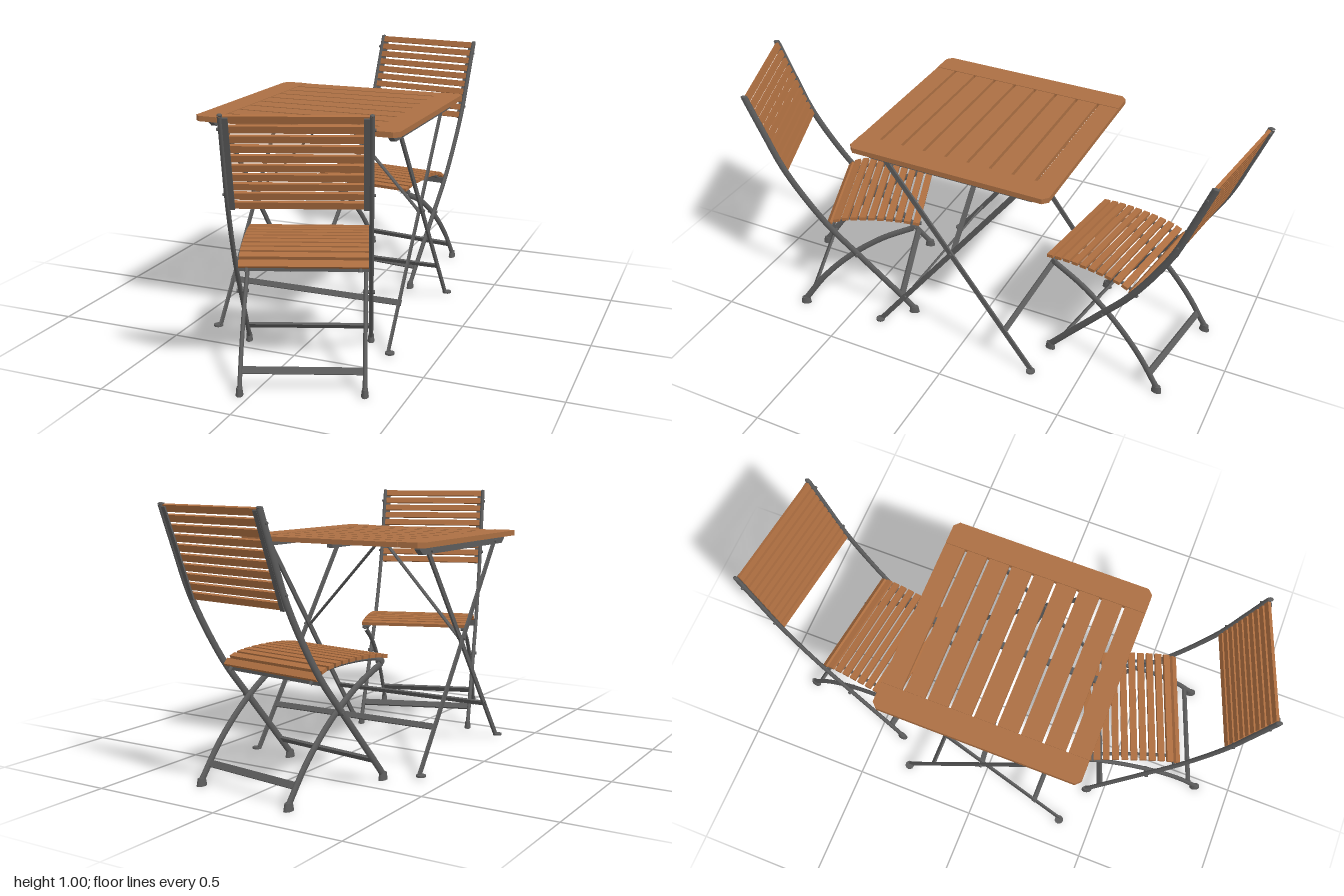
import * as THREE from 'three';

const tableWood = new THREE.MeshStandardMaterial({ color: 0xab6f43 });
tableWood.name = 'tableWood';
const chairWood = new THREE.MeshStandardMaterial({ color: 0xad6e40 });
chairWood.name = 'chairWood';
const steel = new THREE.MeshStandardMaterial({ color: 0x5c5c5c });
steel.name = 'greySteel';

const V = (x, y, z) => new THREE.Vector3(x, y, z);

function add(group, name, geometry, material, x = 0, y = 0, z = 0) {
  const mesh = new THREE.Mesh(geometry, material);
  mesh.name = name;
  mesh.position.set(x, y, z);
  group.add(mesh);
  return mesh;
}

const box = (group, name, material, w, h, d, x, y, z) =>
  add(group, name, new THREE.BoxGeometry(w, h, d), material, x, y, z);

// Flat bar running between two points
function bar(group, name, a, b, w, h) {
  const mid = a.clone().add(b).multiplyScalar(0.5);
  const mesh = box(group, name, steel, w, h, a.distanceTo(b), mid.x, mid.y, mid.z);
  mesh.lookAt(b);
}

// Short cylinder lying along x
function bolt(group, name, r, length, x, y, z) {
  const mesh = add(group, name, new THREE.CylinderGeometry(r, r, length, 10), steel, x, y, z);
  mesh.rotation.z = Math.PI / 2;
}

// Curve through [z, y] points in the plane x = 0
const sideCurve = (pts) => new THREE.CatmullRomCurve3(pts.map(([z, y]) => V(0, y, z)), false, 'centripetal');

// Bent leg of flat oval tube with a closed top and a flared foot
function tubeLeg(group, name, x, pts, r) {
  const flat = 0.62;
  add(group, name, new THREE.TubeGeometry(sideCurve(pts), 24, r, 12), steel, x).scale.x = flat;
  const [tz, ty] = pts[0];
  add(group, name + 'Cap', new THREE.SphereGeometry(r, 12, 6), steel, x, ty, tz).scale.set(flat, 0.4, 1);
  const [fz] = pts[pts.length - 1];
  const foot = add(group, name + 'Foot', new THREE.CylinderGeometry(0.0145, 0.019, 0.028, 12), steel, x, 0.014, fz);
  foot.scale.set(0.7, 1, 1.15);
}

function createChair() {
  const chair = new THREE.Group();
  chair.name = 'chair';
  const longLeg = [[0, 0.993], [0.055, 0.84], [0.12, 0.67], [0.26, 0.43], [0.385, 0.275], [0.53, 0.1], [0.595, 0.02]];
  const arcLeg = [[0.607, 0.422], [0.475, 0.36], [0.34, 0.265], [0.22, 0.145], [0.13, 0.02]];
  const seatPts = [[0.255, 0.41], [0.277, 0.432], [0.31, 0.446], [0.38, 0.456], [0.47, 0.459], [0.56, 0.455], [0.636, 0.444]];

  for (const s of [-1, 1]) {
    tubeLeg(chair, 'backLeg', s * 0.232, longLeg, 0.013);
    tubeLeg(chair, 'curvedLeg', s * 0.213, arcLeg, 0.0125);
    // Steel strip behind the ends of the backrest slats
    bar(chair, 'backrestRail', V(s * 0.216, 0.985, -0.004), V(s * 0.216, 0.662, 0.112), 0.018, 0.006);
    // Rail below the seat slats
    const rail = seatPts.map(([z, y]) => [z, y - 0.013]);
    add(chair, 'seatRail', new THREE.TubeGeometry(sideCurve(rail), 16, 0.007, 6), steel, s * 0.195);
    bolt(chair, 'pivotBolt', 0.007, 0.042, s * 0.224, 0.285, 0.372);
    bolt(chair, 'seatBolt', 0.01, 0.026, s * 0.211, 0.43, 0.603);
    for (const y of [0.945, 0.715])
      bolt(chair, 'backrestBolt', 0.005, 0.026, s * 0.232, y, (1 - y) * 0.36);
  }

  // Backrest slats
  for (let i = 0; i < 10; i++) {
    const y = 0.98 - i * 0.0336;
    box(chair, 'backrestSlat', chairWood, 0.446, 0.025, 0.012, 0, y, (1 - y) * 0.36).rotation.x = -0.345;
  }

  // Seat slats following the curved profile
  const seat = sideCurve(seatPts);
  for (let i = 0; i < 11; i++) {
    const u = (i + 0.5) / 11, p = seat.getPointAt(u), t = seat.getTangentAt(u);
    box(chair, 'seatSlat', chairWood, 0.446, 0.013, 0.026, 0, p.y, p.z).rotation.x = -Math.atan2(t.y, t.z);
  }

  // Cross bars
  box(chair, 'seatCrossBar', steel, 0.452, 0.025, 0.008, 0, 0.407, 0.277);
  box(chair, 'frontCrossBar', steel, 0.452, 0.025, 0.01, 0, 0.083, 0.545).rotation.x = -0.7;
  box(chair, 'rearCrossBar', steel, 0.415, 0.025, 0.01, 0, 0.074, 0.168).rotation.x = 0.6;
  return chair;
}

function createTable() {
  const table = new THREE.Group();
  table.name = 'table';

  // Table top slats
  for (let i = 0; i < 9; i++)
    box(table, 'tableSlat', tableWood, 0.602, 0.018, 0.079, 0, 0.844, (i - 4) * 0.0901);

  for (const s of [-1, 1]) {
    // End board with clipped outer corners
    const c = 0.02;
    const outline = new THREE.Shape([
      [0.302, -0.4], [0.4 - c, -0.4], [0.4, -0.4 + c], [0.4, 0.4 - c], [0.4 - c, 0.4], [0.302, 0.4],
    ].map(([x, y]) => new THREE.Vector2(s * x, y)));
    const board = add(table, 'endBoard', new THREE.ExtrudeGeometry(outline, { depth: 0.02, bevelEnabled: false }), tableWood, 0, 0.8545, 0);
    board.rotation.x = Math.PI / 2;

    // Under-top rail with sloped ends
    const profile = new THREE.Shape([[-0.355, 0.835], [-0.355, 0.825], [-0.33, 0.806], [0.33, 0.806], [0.355, 0.825], [0.355, 0.835]]
      .map(([z, y]) => new THREE.Vector2(z, y)));
    const rail = add(table, 'topRail', new THREE.ExtrudeGeometry(profile, { depth: 0.022, bevelEnabled: false }), steel, s * 0.355 + 0.011, 0, 0);
    rail.rotation.y = -Math.PI / 2;

    // Crossed legs, feet and bolts
    for (const k of [-1, 1]) {
      const x = s * (0.355 + k * 0.006);
      bar(table, 'tableLeg', V(x, 0.82, k * 0.27), V(x, 0.01, -k * 0.34), 0.008, 0.02);
      add(table, 'tableFoot', new THREE.CylinderGeometry(0.018, 0.018, 0.007, 12), steel, x + s * 0.008, 0.01, -k * 0.343);
      bolt(table, 'topBolt', 0.007, 0.032, s * 0.357, 0.818, k * 0.268);
    }
    bolt(table, 'crossBolt', 0.006, 0.034, s * 0.355, 0.463, 0);

    // Diagonal brace up to the middle of the top
    bar(table, 'diagonalBrace', V(s * 0.345, 0.463, 0), V(s * 0.008, 0.825, 0), 0.02, 0.005);
    // Stretcher between one pair of legs
    box(table, 'stretcher', steel, 0.715, 0.022, 0.008, 0, 0.164, s * 0.224).rotation.x = -s * 0.64;
  }
  box(table, 'centreRail', steel, 0.024, 0.016, 0.74, 0, 0.827, 0);
  return table;
}

export function createModel() {
  const model = new THREE.Group();
  model.name = 'foldingBistroSet';

  const table = createTable();
  table.position.set(-0.03, 0, 0.025);
  model.add(table);

  // Two chairs turned towards the table
  for (const [name, x, z, turn] of [['backChair', 0.03, -0.953, -0.15], ['frontChair', 0.207, 0.908, -2.784]]) {
    const chair = createChair();
    chair.name = name;
    chair.position.set(x, 0, z);
    chair.rotation.y = turn;
    model.add(chair);
  }
  return model;
}
